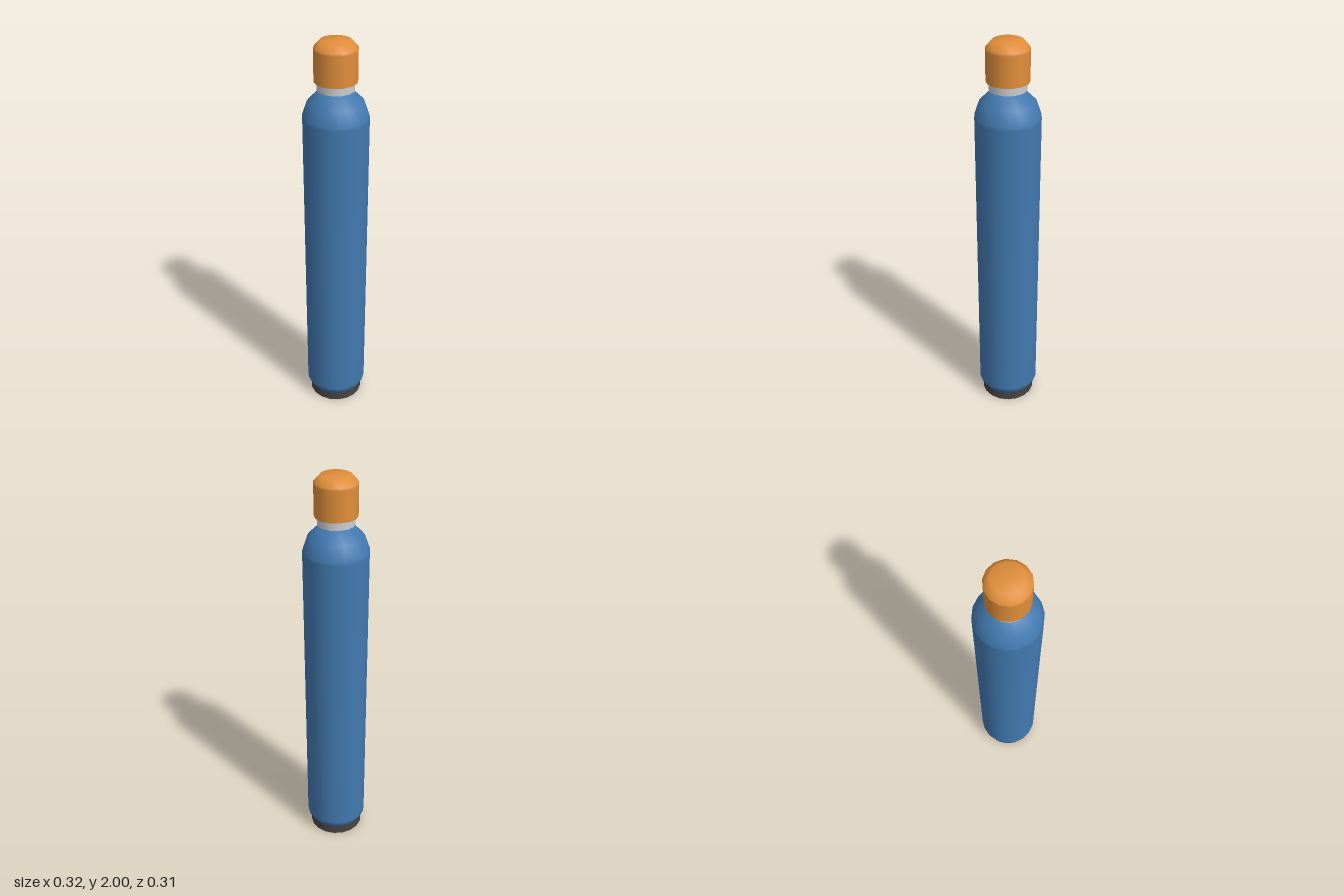
import * as THREE from 'three';

const material = (name, color, side = THREE.FrontSide) =>
  new THREE.MeshStandardMaterial({ name, color, side });

// Turned part: [radius, height] profile from bottom to top, with a vertex on the x axis
function turned(name, profile, sides, mat) {
  const points = profile.map(([r, y]) => new THREE.Vector2(r, y));
  const geometry = new THREE.LatheGeometry(points, sides, Math.PI / 2);
  const mesh = new THREE.Mesh(geometry, mat);
  mesh.name = name;
  return mesh;
}

// Flat ring or disc facing up (dir = 1) or down (dir = -1)
function flatRing(name, inner, outer, y, sides, mat, dir) {
  const geometry = inner > 0
    ? new THREE.RingGeometry(inner, outer, sides)
    : new THREE.CircleGeometry(outer, sides);
  geometry.rotateX(-dir * Math.PI / 2);
  const mesh = new THREE.Mesh(geometry, mat);
  mesh.position.y = y;
  mesh.name = name;
  return mesh;
}

export function createModel() {
  const blue = material('blue paint', 0x4279b0);
  const orange = material('orange cap', 0xe08e3a);
  const silver = material('silver metal', 0xcacfd3);
  const dark = material('dark rubber', 0x474343);

  const model = new THREE.Group();
  model.name = 'gasCylinder';

  // Tank with rounded shoulder; close rings keep the long wall evenly shaded
  model.add(turned('tank', [
    [0.14, 0.05], [0.158, 0.08], [0.158, 0.09],
    [0.158, 1.63], [0.158, 1.645], [0.134, 1.713], [0.07, 1.775], [0, 1.778],
  ], 18, blue));
  model.add(flatRing('tankBottom', 0, 0.14, 0.05, 18, blue, -1));

  // Hollow foot ring: outer wall, inner wall and rim
  model.add(turned('footOuter', [[0.14, 0], [0.14, 0.055]], 18, dark));
  model.add(turned('footInner', [[0.129, 0.055], [0.129, 0]], 18, dark));
  model.add(flatRing('footRim', 0.129, 0.14, 0, 18, dark, -1));

  // Neck collar
  model.add(turned('neckCollar', [[0.088, 1.77], [0.088, 1.815]], 14, silver));
  model.add(flatRing('neckUnderside', 0, 0.088, 1.77, 14, silver, -1));

  // Valve cap with bevelled top
  model.add(turned('valveCap', [
    [0.102, 1.81], [0.102, 1.955], [0.102, 1.967], [0.072, 2], [0, 2],
  ], 14, orange));
  model.add(flatRing('capUnderside', 0, 0.102, 1.81, 14, orange, -1));

  return model;
}
